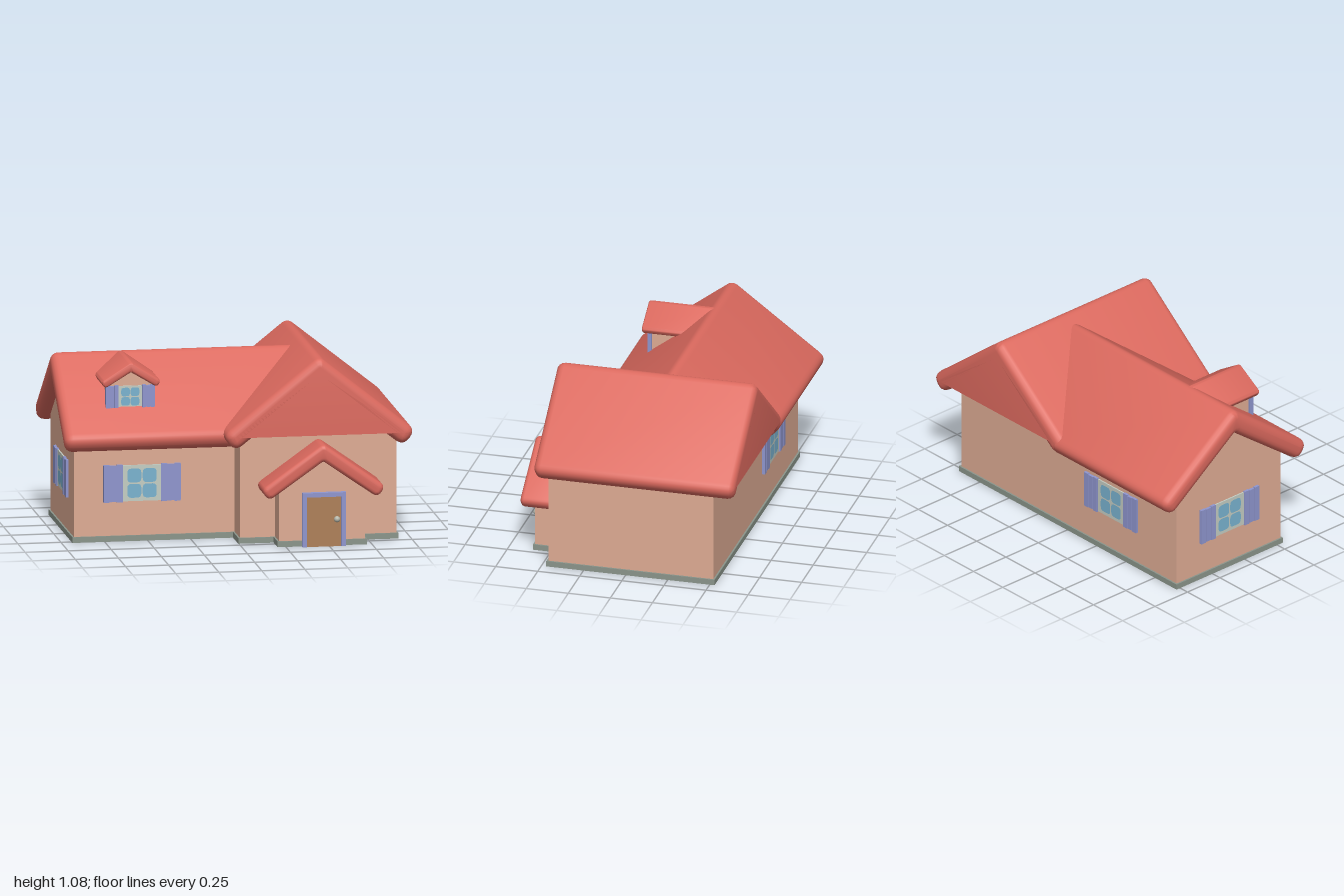
import * as THREE from 'three';
import { toCreasedNormals } from 'three/addons/utils/BufferGeometryUtils.js';

const mat = (name, color) => Object.assign(new THREE.MeshStandardMaterial({ color }), { name });

export function createModel() {
  const house = new THREE.Group();
  house.name = 'house';
  const red = mat('roof red', 0xdb695e);
  const peach = mat('wall peach', 0xdfac94);
  const stone = mat('plinth grey', 0x8b958b);
  const lilac = mat('shutter lilac', 0x8f96cf);
  const pale = mat('window frame pale', 0xc5cec4);
  const blue = mat('glass blue', 0x7ab3d0);
  const brown = mat('door brown', 0xae8058);
  const silver = mat('knob grey', 0xb4b5a8);

  const add = (parent, name, geo, material, x = 0, y = 0, z = 0) => {
    const m = new THREE.Mesh(geo, material);
    m.name = name;
    m.position.set(x, y, z);
    parent.add(m);
    return m;
  };
  // Box given by its limits
  const box = (parent, name, material, x0, x1, y0, y1, z0, z1) =>
    add(parent, name, new THREE.BoxGeometry(x1 - x0, y1 - y0, z1 - z0), material,
      (x0 + x1) / 2, (y0 + y1) / 2, (z0 + z1) / 2);

  // Closed outline whose corners are rounded by the radius in each point
  const roundedShape = (pts) => {
    const shape = new THREE.Shape();
    pts.forEach(([x, y, r], i) => {
      const p = new THREE.Vector2(x, y);
      const toward = (q) => new THREE.Vector2(q[0], q[1]).sub(p).setLength(r).add(p);
      const a = toward(pts[(i + pts.length - 1) % pts.length]);
      const b = toward(pts[(i + 1) % pts.length]);
      if (i === 0) shape.moveTo(a.x, a.y); else shape.lineTo(a.x, a.y);
      if (r > 0) shape.quadraticCurveTo(x, y, b.x, b.y);
    });
    return shape;
  };

  // Padded chevron roof along z, with its ridge at x = 0
  const roofGeometry = (w, peak, slope, thick, bevel, z0, z1) => {
    const len = Math.hypot(1, slope);
    const dx = (slope / len) * thick, dy = thick / len;
    const eave = peak - slope * w, r = thick * 0.48;
    const shape = roundedShape([
      [0, peak + 0.005, thick * 0.35], [-w, eave, r], [-w + dx, eave - dy, r],
      [0, peak - thick * len, thick * 0.12], [w - dx, eave - dy, r], [w, eave, r],
    ]);
    const geo = new THREE.ExtrudeGeometry(shape, {
      depth: z1 - z0 - 2 * bevel, bevelEnabled: true, bevelSize: bevel, bevelOffset: -bevel,
      bevelThickness: bevel, bevelSegments: 4, curveSegments: 6,
    });
    return geo.translate(0, 0, z0 + bevel);
  };

  // Solid wall block with a pointed top, extruded along z
  const gableWalls = (half, y0, peak, slope, z0, z1) => {
    const eave = peak - slope * half;
    const shape = roundedShape([[-half, y0, 0], [half, y0, 0], [half, eave, 0], [0, peak, 0], [-half, eave, 0]]);
    return new THREE.ExtrudeGeometry(shape, { depth: z1 - z0, bevelEnabled: false }).translate(0, 0, z0);
  };

  // Walls
  add(house, 'gableWingWalls', gableWalls(0.455, 0, 1.0, 0.79, -0.52, 0.46), peach, 0.46);
  add(house, 'mainWingWalls', gableWalls(0.4, 0, 0.97, 0.74, -0.93, 0.3).rotateY(Math.PI / 2), peach, 0, 0, -0.12);
  add(house, 'porchWalls', gableWalls(0.25, 0, 0.55, 0.7, 0.4, 0.595), peach, 0.46);
  add(house, 'dormerWalls', gableWalls(0.13, 0.72, 1.01, 0.6, -0.1, 0.23), peach, -0.595);

  // Plinth strips, lifted slightly so the floor stays visible below
  box(house, 'mainPlinth', stone, -0.94, 0.1, 0.002, 0.035, -0.53, 0.29);
  box(house, 'gablePlinth', stone, -0.005, 0.925, 0.002, 0.035, -0.53, 0.47);
  box(house, 'porchPlinth', stone, 0.2, 0.72, 0.002, 0.035, 0.4, 0.605);

  // Roofs
  const roof = (name, geo, x, z) => add(house, name, toCreasedNormals(geo, 0.7), red, x, 0, z);
  roof('gableRoof', roofGeometry(0.562, 1.083, 0.79, 0.118, 0.045, -0.66, 0.53), 0.46, 0);
  roof('porchRoof', roofGeometry(0.362, 0.6, 0.7, 0.08, 0.025, 0.42, 0.66), 0.46, 0);
  roof('dormerRoof', roofGeometry(0.175, 1.037, 0.6, 0.046, 0.015, -0.12, 0.275), -0.595, 0);

  // Main roof: its inner end is slanted to follow the valley with the gable roof
  const mainRoof = roofGeometry(0.562, 1.042, 0.74, 0.118, 0.045, -1, 0.42).rotateY(Math.PI / 2);
  const p = mainRoof.attributes.position;
  for (let i = 0; i < p.count; i++) {
    if (p.getX(i) > 0) p.setX(i, p.getX(i) + 0.045 - 0.86 * Math.abs(p.getZ(i)));
  }
  roof('mainRoof', mainRoof, 0, -0.12);

  // Window with four rounded panes and a plank shutter on each side
  const makeWindow = (name, width, height, frameWidth, x, y, z, turn = 0) => {
    const g = new THREE.Group();
    g.name = name;
    g.position.set(x, y, z);
    g.rotation.y = turn;
    house.add(g);
    const f = frameWidth / 2, h = height / 2;
    box(g, 'windowFrame', pale, -f, f, -h + 0.005, h - 0.005, -0.01, 0.008);
    const a = frameWidth * 0.185, b = height * 0.185, r = a * 0.6;
    const pane = new THREE.ShapeGeometry(roundedShape([[-a, -b, r], [a, -b, r], [a, b, r], [-a, b, r]]), 4);
    const shutterWidth = (width - frameWidth) / 2;
    for (const sx of [-1, 1]) {
      for (const sy of [-1, 1]) add(g, 'windowPane', pane, blue, sx * a * 1.1, sy * b * 1.1, 0.0095);
      const c = sx * (f + shutterWidth / 2), half = shutterWidth / 2;
      box(g, 'shutterBack', lilac, c - half, c + half, -h + 0.004, h - 0.004, -0.01, 0.01);
      const plank = shutterWidth / 3;
      for (let i = 0; i < 3; i++) {
        const px = c - half + (i + 0.5) * plank, drop = i === 1 ? 0.004 : 0;
        box(g, 'shutterPlank', lilac, px - plank * 0.44, px + plank * 0.44, -h + drop, h - drop, 0, 0.016);
      }
    }
  };
  makeWindow('frontWindow', 0.45, 0.22, 0.22, -0.535, 0.34, 0.28);
  makeWindow('gableWindow', 0.34, 0.165, 0.18, 0.46, 0.72, 0.46);
  makeWindow('dormerWindow', 0.285, 0.135, 0.135, -0.595, 0.837, 0.23);
  makeWindow('backWindow', 0.45, 0.22, 0.22, -0.375, 0.34, -0.52, Math.PI);
  makeWindow('sideWindow', 0.45, 0.22, 0.22, -0.93, 0.34, -0.12, -Math.PI / 2);

  // Front door with frame and knob
  box(house, 'doorFrameRight', lilac, 0.342, 0.368, 0, 0.315, 0.58, 0.625);
  box(house, 'doorFrameLeft', lilac, 0.567, 0.595, 0, 0.315, 0.58, 0.625);
  box(house, 'doorFrameTop', lilac, 0.368, 0.567, 0.29, 0.315, 0.58, 0.625);
  box(house, 'door', brown, 0.368, 0.567, 0, 0.29, 0.58, 0.62);
  add(house, 'doorKnob', new THREE.SphereGeometry(0.018, 20, 14), silver, 0.541, 0.16, 0.632);

  return house;
}
